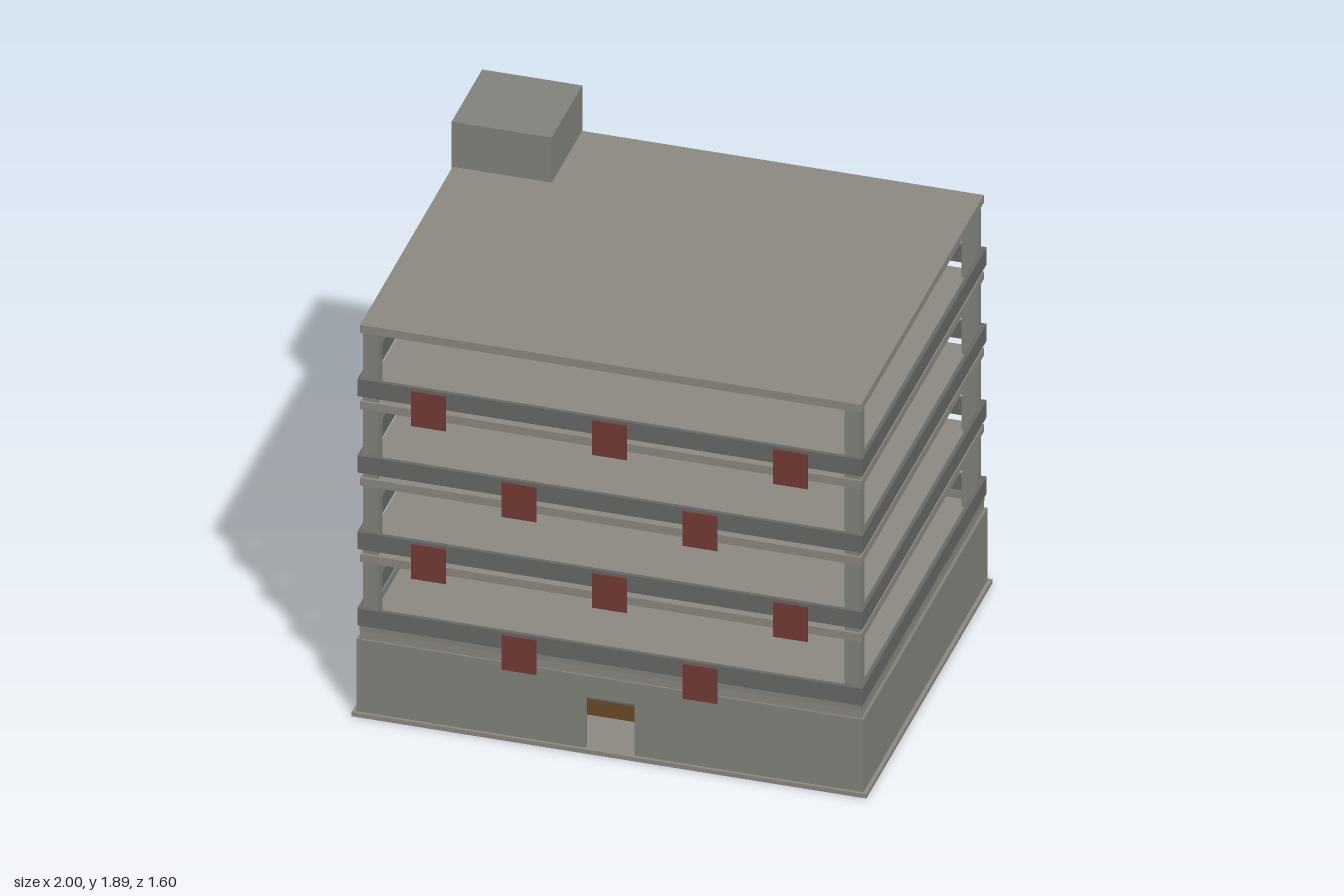
import * as THREE from 'three';

const concrete = new THREE.MeshStandardMaterial({ color: 0x8c8981 });
const wallGrey = new THREE.MeshStandardMaterial({ color: 0x82837b });
const railGrey = new THREE.MeshStandardMaterial({ color: 0x686865 });
const red = new THREE.MeshStandardMaterial({ color: 0x753a36 });
const wood = new THREE.MeshStandardMaterial({ color: 0x6a4a26 });

const FLOOR = 0.333; // storey height
const SLAB = 0.034;

// Box given by its lower and upper limits on each axis
function box(name, [x0, x1], [y0, y1], [z0, z1], material) {
  const mesh = new THREE.Mesh(new THREE.BoxGeometry(x1 - x0, y1 - y0, z1 - z0), material);
  mesh.position.set((x0 + x1) / 2, (y0 + y1) / 2, (z0 + z1) / 2);
  mesh.name = name;
  return mesh;
}

function rectangle(Type, x0, x1, y0, y1) {
  const path = new Type();
  path.moveTo(x0, y0);
  path.lineTo(x1, y0);
  path.lineTo(x1, y1);
  path.lineTo(x0, y1);
  path.closePath();
  return path;
}

// Hollow rectangular band running round the building
function ring(name, hx, hz, t, y0, y1, material) {
  const shape = rectangle(THREE.Shape, -hx, hx, -hz, hz);
  shape.holes.push(rectangle(THREE.Path, -hx + t, hx - t, -hz + t, hz - t));
  const geometry = new THREE.ExtrudeGeometry(shape, { depth: y1 - y0, bevelEnabled: false });
  geometry.rotateX(-Math.PI / 2);
  const mesh = new THREE.Mesh(geometry, material);
  mesh.position.y = y0;
  mesh.name = name;
  return mesh;
}

// Ground storey: plinth, walls, doorway and the desk inside it
function groundFloor() {
  const group = new THREE.Group();
  group.name = 'groundFloor';
  group.add(box('plinth', [-1, 1], [0, 0.018], [-0.8, 0.8], concrete));

  const front = new THREE.Shape();
  [[-0.985, 0.018], [-0.095, 0.018], [-0.095, 0.24], [0.095, 0.24], [0.095, 0.018],
    [0.985, 0.018], [0.985, FLOOR], [-0.985, FLOOR]]
    .forEach(([x, y], i) => (i ? front.lineTo(x, y) : front.moveTo(x, y)));
  const frontWall = new THREE.Mesh(
    new THREE.ExtrudeGeometry(front, { depth: 0.02, bevelEnabled: false }), wallGrey);
  frontWall.position.z = 0.768;
  frontWall.name = 'frontWall';
  group.add(frontWall);

  group.add(box('backWall', [-0.985, 0.985], [0.018, FLOOR], [-0.788, -0.768], wallGrey));
  for (const s of [-1, 1]) {
    const x = [0.965 * s, 0.985 * s].sort((a, b) => a - b);
    group.add(box('sideWall', x, [0.018, FLOOR], [-0.768, 0.768], wallGrey));
  }
  group.add(box('doorHead', [-0.095, 0.095], [0.228, 0.24], [0.766, 0.78], railGrey));
  group.add(box('desk', [-0.2, 0.2], [0.018, 0.1], [0.44, 0.56], wood));
  group.add(box('deskTop', [-0.15, -0.005], [0.1, 0.132], [0.44, 0.53], wood));
  return group;
}

// Open parking deck with its parapet band and hanging panels
function deck(level) {
  const y = level * FLOOR;
  const group = new THREE.Group();
  group.name = 'deck' + level;
  group.add(box('floorSlab', [-0.973, 0.973], [y, y + SLAB], [-0.78, 0.78], concrete));
  group.add(ring('parapet', 0.981, 0.79, 0.015, y + 0.061, y + 0.135, railGrey));
  const columns = level % 2 ? [-0.352, 0.352] : [-0.703, 0, 0.703];
  for (const x of columns) {
    for (const z of [-0.793, 0.793]) {
      group.add(box('redPanel', [x - 0.067, x + 0.067], [y - 0.028, y + 0.122],
        [z - 0.003, z + 0.003], red));
    }
  }
  return group;
}

export function createModel() {
  const model = new THREE.Group();
  model.name = 'parkingBuilding';
  model.add(groundFloor());

  for (let level = 1; level <= 4; level++) model.add(deck(level));

  // Low wall closing the gap beneath the lowest parapet
  model.add(ring('lowWall', 0.975, 0.783, 0.015, FLOOR + SLAB, FLOOR + 0.065, wallGrey));

  const roofY = 5 * FLOOR;
  model.add(box('roof', [-0.973, 0.973], [roofY, roofY + SLAB], [-0.78, 0.78], concrete));

  // Corner pillars
  for (const x of [-0.936, 0.936]) {
    for (const z of [-0.742, 0.742]) {
      model.add(box('cornerPillar', [x - 0.03, x + 0.03], [FLOOR + SLAB, roofY],
        [z - 0.028, z + 0.028], wallGrey));
    }
  }

  // Stair tower in the back right corner
  model.add(box('stairTower', [-0.977, -0.588], [0.018, 1.895], [-0.783, -0.395], wallGrey));
  return model;
}
